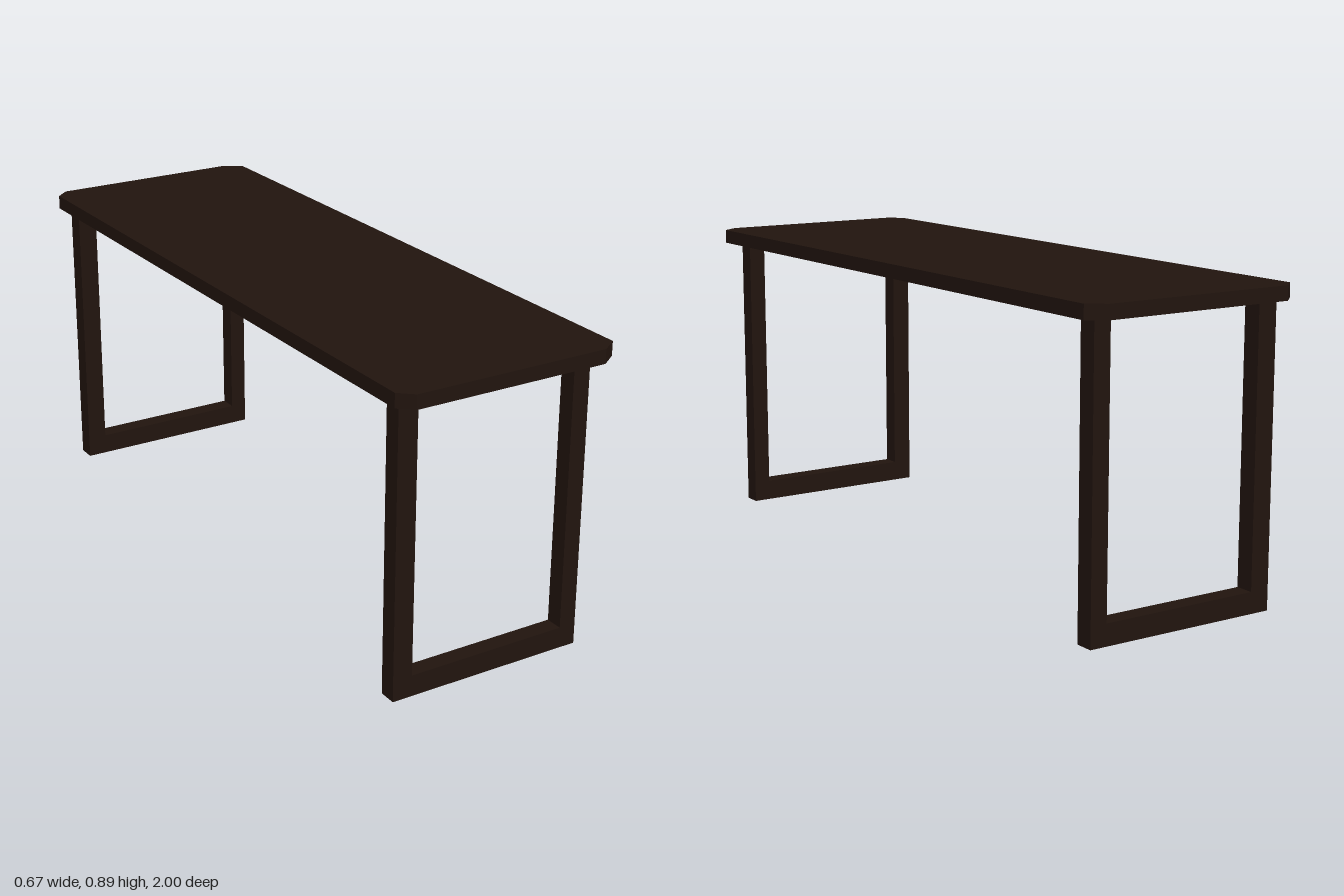
import * as THREE from 'three';

const wood = new THREE.MeshStandardMaterial({ color: 0x21140e, flatShading: true });

// Box given by its lower and upper corners
function beam(name, [x0, y0, z0], [x1, y1, z1]) {
  const mesh = new THREE.Mesh(new THREE.BoxGeometry(x1 - x0, y1 - y0, z1 - z0), wood);
  mesh.position.set((x0 + x1) / 2, (y0 + y1) / 2, (z0 + z1) / 2);
  mesh.name = name;
  return mesh;
}

// Board with clipped corners, drawn flat and laid down
function tableTop(bottom, top) {
  const outline = [
    [-0.297, -1], [0.286, -1], [0.337, -0.964], [0.337, 0.964],
    [0.286, 1], [-0.297, 1], [-0.337, 0.964], [-0.337, -0.964],
  ].map(([x, y]) => new THREE.Vector2(x, y));
  const geometry = new THREE.ExtrudeGeometry(new THREE.Shape(outline), {
    depth: top - bottom, bevelEnabled: false,
  });
  geometry.rotateX(-Math.PI / 2);
  const mesh = new THREE.Mesh(geometry, wood);
  mesh.position.y = bottom;
  mesh.name = 'tableTop';
  return mesh;
}

// Two legs joined by a rail on the floor, open towards the top
function legFrame(name, z0, z1, height) {
  const frame = new THREE.Group();
  frame.name = name;
  const rail = 0.062;
  frame.add(
    beam('floorRail', [-0.302, 0, z0], [0.295, rail, z1]),
    beam('rightLeg', [-0.302, rail, z0], [-0.243, height, z1]),
    beam('leftLeg', [0.244, rail, z0], [0.295, height, z1]),
  );
  return frame;
}

export function createModel() {
  const table = new THREE.Group();
  table.name = 'table';
  const underside = 0.851;
  table.add(
    tableTop(underside, 0.892),
    legFrame('frontFrame', 0.878, 0.93, underside),
    legFrame('backFrame', -0.952, -0.897, underside),
  );
  return table;
}
